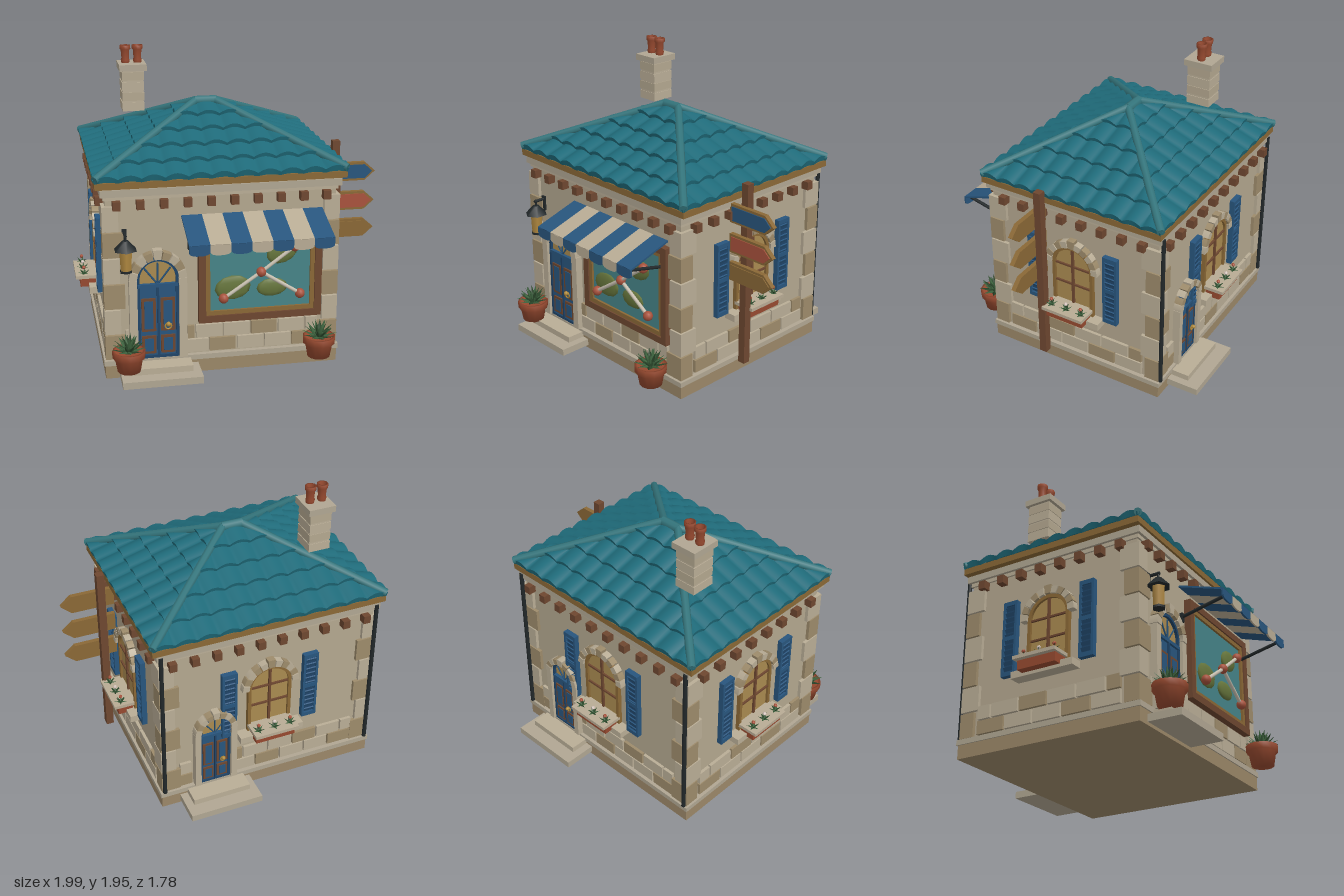
import * as THREE from 'three';

const CX = -0.105, CZ = -0.045, HW = 0.72, HD = 0.61; // house centre and half sizes
const C = {
  wall: 0xb3a78f, stone: 0xb9ad96, tan: 0x9d8b6b, base: 0x9b8768, cap: 0xb0a692, wood: 0x6e4730,
  gold: 0x8a6836, blue: 0x28557d, darkBlue: 0x1f4468, glass: 0xa98a50, teal: 0x468488, roof: 0x1f6b7a,
  ridge: 0x34757c, clay: 0x96492f, black: 0x22282a, leaf: 0x2c4a2c, olive: 0x66753c, cream: 0xb8ab94, red: 0xa8523c,
};
const mats = {};
const mat = (c) => (mats[c] ??= new THREE.MeshStandardMaterial({ color: c, side: THREE.DoubleSide }));

function add(parent, name, geo, color, x = 0, y = 0, z = 0) {
  const m = new THREE.Mesh(geo, mat(color));
  m.name = name;
  m.position.set(x, y, z);
  parent.add(m);
  return m;
}
const box = (p, name, w, h, d, c, x, y, z) => add(p, name, new THREE.BoxGeometry(w, h, d), c, x, y, z);
function group(parent, name, x = 0, y = 0, z = 0, ry = 0) {
  const g = new THREE.Group();
  g.name = name;
  g.position.set(x, y, z);
  g.rotation.y = ry;
  parent.add(g);
  return g;
}
const extrude = (shape, depth) => new THREE.ExtrudeGeometry(shape, { depth, bevelEnabled: false, curveSegments: 16 });
function rod(p, name, a, b, r, c, sides = 8) {
  const A = new THREE.Vector3(...a), B = new THREE.Vector3(...b), d = B.clone().sub(A);
  const m = add(p, name, new THREE.CylinderGeometry(r, r, d.length(), sides), c);
  m.position.copy(A).add(B).multiplyScalar(0.5);
  m.quaternion.setFromUnitVectors(new THREE.Vector3(0, 1, 0), d.normalize());
  return m;
}

// Round-topped outline, optionally hollowed by a smaller one
function arch(w, bottom, spring, inset = 0) {
  const trace = (s, r, b) => s.moveTo(r, b).lineTo(r, spring).absarc(0, spring, r, 0, Math.PI, false).lineTo(-r, b).closePath();
  const s = new THREE.Shape();
  trace(s, w, bottom);
  if (inset) {
    const h = new THREE.Path();
    trace(h, w - inset, bottom + inset);
    s.holes.push(h);
  }
  return s;
}

// Wedge stones around a half circle
function archStones(p, y, r0, r1, n, depth) {
  for (let i = 0; i < n; i++) {
    const a0 = (Math.PI * i) / n + 0.02, a1 = (Math.PI * (i + 1)) / n - 0.02;
    const R = i === (n - 1) / 2 ? r1 + 0.012 : r1;
    const s = new THREE.Shape().absarc(0, 0, R, a0, a1, false).absarc(0, 0, r0, a1, a0, true).closePath();
    add(p, 'archStone', extrude(s, depth), i % 2 ? C.tan : C.stone, 0, y, 0);
  }
}

function leafTuft(p, x, y, z, len, rings, n) {
  const g = group(p, 'leaves', x, y, z);
  for (let r = 0; r < rings; r++) for (let i = 0; i < n; i++) {
    const geo = new THREE.ConeGeometry(len * 0.24, len, 4).translate(0, len / 2, 0).scale(1, 1, 0.35);
    geo.rotateX(1.25 - r * 0.42).rotateY(((i + r * 0.5) / n) * Math.PI * 2);
    add(g, 'leaf', geo, (i + r) % 2 ? C.leaf : 0x3f6640);
  }
}

function addDoor(wall, x, s) {
  const g = group(wall, 'door', x, 0.125, 0);
  g.scale.set(s, s, 1);
  add(g, 'doorFrame', extrude(arch(0.13, 0, 0.53, 0.018), 0.03), C.darkBlue);
  box(g, 'doorLeaves', 0.235, 0.475, 0.02, C.blue, 0, 0.24, 0.01);
  add(g, 'fanlight', extrude(arch(0.115, 0.48, 0.53), 0.012), C.glass);
  box(g, 'transom', 0.25, 0.022, 0.03, C.blue, 0, 0.485, 0.02);
  for (const a of [-0.75, 0, 0.75]) rod(g, 'fanlightBar', [0, 0.49, 0.02], [Math.sin(a) * 0.12, 0.51 + Math.cos(a) * 0.12, 0.02], 0.006, C.blue, 4);
  for (const sx of [-1, 1]) {
    box(g, 'doorJamb', 0.05, 0.53, 0.05, C.stone, sx * 0.155, 0.265, 0.025);
    for (const [y, h] of [[0.29, 0.22], [0.09, 0.12]]) {
      box(g, 'panelSurround', 0.09, h, 0.01, C.wood, sx * 0.06, y, 0.024);
      box(g, 'panel', 0.055, h - 0.035, 0.01, C.blue, sx * 0.06, y, 0.028);
    }
  }
  box(g, 'meetingStile', 0.014, 0.47, 0.014, C.darkBlue, 0, 0.24, 0.026);
  add(g, 'doorKnob', new THREE.SphereGeometry(0.016, 10, 8), 0xb08a3c, 0.06, 0.23, 0.05);
  add(g, 'knocker', new THREE.TorusGeometry(0.02, 0.005, 6, 12), 0xb08a3c, 0.06, 0.215, 0.04);
  archStones(g, 0.53, 0.13, 0.18, 9, 0.055);
}
function addSteps(wall, x, w) {
  box(wall, 'lowerStep', w, 0.045, 0.24, C.cap, x, 0.048, 0.12);
  box(wall, 'upperStep', w - 0.1, 0.04, 0.15, C.stone, x, 0.09, 0.075);
}

function addWindow(wall) {
  const g = group(wall, 'archedWindow');
  add(g, 'windowGlass', extrude(arch(0.14, 0.46, 0.795), 0.012), C.glass);
  add(g, 'windowFrame', extrude(arch(0.15, 0.45, 0.795, 0.022), 0.028), C.gold);
  box(g, 'mullion', 0.016, 0.47, 0.016, C.wood, 0, 0.70, 0.018);
  for (const y of [0.66, 0.795]) box(g, 'glazingBar', 0.28, 0.012, 0.016, C.wood, 0, y, 0.016);
  archStones(g, 0.795, 0.15, 0.195, 11, 0.045);
  box(g, 'sill', 0.44, 0.045, 0.085, C.stone, 0, 0.438, 0.04);
  // flower box
  box(g, 'flowerBox', 0.27, 0.065, 0.1, C.clay, 0, 0.468, 0.085);
  box(g, 'flowerBoxRim', 0.3, 0.022, 0.15, C.cream, 0, 0.505, 0.09);
  for (const x of [-0.11, 0, 0.11]) {
    leafTuft(g, x, 0.515, 0.11, 0.045, 2, 5);
    add(g, 'flower', new THREE.IcosahedronGeometry(0.013, 0), x ? C.red : 0xd8c8c0, x, 0.56, 0.11);
  }
  // louvred shutters
  for (const sx of [-1, 1]) {
    const s = group(g, 'shutter', sx * 0.28, 0.715, 0.015);
    box(s, 'shutterBack', 0.09, 0.48, 0.018, C.darkBlue, 0, 0, 0);
    for (const e of [-1, 1]) box(s, 'shutterStile', 0.016, 0.495, 0.035, C.blue, e * 0.043, 0, 0.005);
    for (const y of [-0.235, 0, 0.235]) box(s, 'shutterRail', 0.1, 0.028, 0.035, C.blue, 0, y, 0.005);
    for (let i = 0; i < 12; i++) box(s, 'slat', 0.075, 0.024, 0.008, C.blue, 0, -0.2 + i * 0.0364, 0.013).rotation.x = 0.5;
  }
}

// Two courses of facing stones and a row of eave brackets
function addTrim(wall, hw, brackets, doorX, doorW) {
  const n = Math.round((hw * 2 - 0.2) / 0.19), w = (hw * 2 - 0.2) / n;
  for (let r = 0; r < 2; r++) for (let i = 0; i < n + r; i++) {
    let a = -hw + 0.1 + Math.max(0, (i - r / 2) * w), b = -hw + 0.1 + Math.min(n, i + 1 - r / 2) * w;
    if (doorW && a < doorX && b > doorX - doorW) b = Math.min(b, doorX - doorW);
    else if (doorW && a < doorX + doorW && b > doorX) a = Math.max(a, doorX + doorW);
    if (b - a > 0.03) box(wall, 'facingStone', b - a - 0.012, 0.085, 0.03, (i + r) % 3 ? C.stone : C.tan, (a + b) / 2, 0.182 + r * 0.095, 0.005);
  }
  for (let i = 0; i < brackets; i++) box(wall, 'eaveBracket', 0.048, 0.055, 0.06, C.wood, (i - (brackets - 1) / 2) * 0.145, 1.138, 0.022);
}

// One roof slope of overlapping barrel tiles, facing +z
function roofSlope(W, w1, D, d1, cols) {
  const rows = 5, sub = 8, N = cols * sub, pos = [], idx = [];
  const line = (t, lift, bumpy) => {
    const w = W + (w1 - W) * t;
    for (let i = 0; i <= N; i++) {
      const u = THREE.MathUtils.clamp(-W + (2 * W * i) / N, -w, w);
      const k = Math.abs(Math.sin(((u + W) / (2 * W)) * cols * Math.PI));
      pos.push(u, 1.28 + 0.325 * t + lift + bumpy * k, D + (d1 - D) * t + lift * 0.4);
    }
    return pos.length / 3 - N - 1;
  };
  const strip = (a, b) => {
    for (let i = 0; i < N; i++) idx.push(a + i, a + i + 1, b + i + 1, a + i, b + i + 1, b + i);
  };
  for (let r = 0; r < rows; r++) {
    const t0 = r / rows, t1 = (r + 1) / rows;
    strip(line(t0, 0, 0.008), line(t0, 0.024, 0.024)); // tile ends
    strip(line(t0, 0.024, 0.024), line(t1, 0.006, 0.018));
  }
  const g = new THREE.BufferGeometry();
  g.setAttribute('position', new THREE.Float32BufferAttribute(pos, 3));
  g.setIndex(idx);
  g.computeVertexNormals();
  return g;
}

function addShopfront(wall) {
  // picture window
  const win = group(wall, 'shopWindow', 0.237, 0.67, 0);
  const ring = (w, h, t) => {
    const s = new THREE.Shape().moveTo(-w, -h).lineTo(w, -h).lineTo(w, h).lineTo(-w, h).closePath();
    s.holes.push(new THREE.Path().moveTo(-w + t, -h + t).lineTo(-w + t, h - t).lineTo(w - t, h - t).lineTo(w - t, -h + t).closePath());
    return s;
  };
  add(win, 'outerFrame', extrude(ring(0.393, 0.33, 0.045), 0.045), C.wood);
  add(win, 'innerFrame', extrude(ring(0.35, 0.287, 0.03), 0.035), C.gold);
  box(win, 'shopGlass', 0.66, 0.54, 0.02, C.teal, 0, 0, 0.01);
  // balls, rods and leaves on the glass
  const P = [[-0.24, -0.165, 0.06], [-0.002, -0.005, 0.06], [0.21, 0.15, 0.06], [0.248, -0.165, 0.06]];
  for (const p of P) add(win, 'displayBall', new THREE.SphereGeometry(0.032, 12, 8), C.red, ...p);
  for (const i of [0, 2, 3]) rod(win, 'displayRod', P[1], P[i], 0.012, 0xc8c0b0);
  for (const [x, y, rx, ry, a] of [[-0.177, -0.108, 0.115, 0.08, 0.1], [0.075, -0.122, 0.1, 0.06, 0.05], [0.135, 0.105, 0.1, 0.07, 0.3]])
    add(win, 'displayLeaf', new THREE.SphereGeometry(1, 10, 6).scale(rx, ry, 0.02), C.olive, x, y, 0.03).rotation.z = a;
  // striped awning
  const aw = group(wall, 'awning', 0.185, 0, 0), sw = 0.1266;
  for (let i = 0; i < 7; i++) {
    const x = (i - 3) * sw, c = i % 2 ? C.cream : C.blue;
    box(aw, 'awningStripe', sw, 0.012, 0.315, c, x, 1.0, 0.17).rotation.x = 0.307;
    const s = new THREE.Shape().moveTo(-sw / 2, 0.955).lineTo(-sw / 2, 0.915).quadraticCurveTo(-sw / 2, 0.89, 0, 0.89)
      .quadraticCurveTo(sw / 2, 0.89, sw / 2, 0.915).lineTo(sw / 2, 0.955).closePath();
    add(aw, 'awningScallop', extrude(s, 0.012), c, x, 0, 0.31);
  }
  for (const x of [-0.39, 0.39]) {
    rod(aw, 'awningArm', [x, 0.86, 0.01], [x, 0.93, 0.31], 0.011, C.black);
    box(aw, 'armPlate', 0.025, 0.06, 0.02, C.black, x, 0.855, 0.01);
  }
  // wall lantern
  const l = group(wall, 'lantern', -0.608, 0, 0.075);
  rod(l, 'lanternArm', [0, 0.96, -0.08], [0, 0.96, 0.01], 0.01, C.black);
  rod(l, 'lanternHook', [0, 0.97, 0], [0, 0.92, 0], 0.007, C.black);
  box(l, 'lanternPlate', 0.03, 0.1, 0.015, C.black, 0, 0.93, -0.07);
  add(l, 'lanternRoof', new THREE.CylinderGeometry(0.02, 0.075, 0.06, 6), C.black, 0, 0.9, 0);
  add(l, 'lanternGlass', new THREE.CylinderGeometry(0.042, 0.036, 0.13, 6), 0xb08840, 0, 0.805, 0);
  add(l, 'lanternBase', new THREE.CylinderGeometry(0.04, 0.04, 0.014, 6), C.black, 0, 0.735, 0);
}

export function createModel() {
  const root = new THREE.Group();
  root.name = 'shopHouse';

  // plinth, walls and cornice
  const house = group(root, 'house', CX, 0, CZ);
  const layer = (name, e, y0, y1, c) => box(house, name, 2 * (HW + e), y1 - y0, 2 * (HD + e), c, 0, (y0 + y1) / 2, 0);
  layer('plinth', 0.025, 0.005, 0.092, C.base);
  layer('plinthCap', 0.033, 0.092, 0.125, C.cap);
  layer('walls', 0, 0.12, 1.2, C.wall);
  layer('cornice', 0.012, 1.165, 1.2, C.stone);
  layer('corniceTop', 0.03, 1.19, 1.235, C.cap);
  box(house, 'fascia', 1.56, 0.042, 1.3, C.gold, 0, 1.262, 0);

  // corner stones and rear downpipes
  for (const sx of [-1, 1]) for (const sz of [-1, 1]) {
    for (let i = 0; i < 6; i++) {
      const w = i % 2 ? 0.1 : 0.13, d = i % 2 ? 0.13 : 0.1;
      box(house, 'cornerStone', w, 0.158, d, i % 2 ? C.stone : C.tan, sx * (HW + 0.022 - w / 2), 0.21 + i * 0.168, sz * (HD + 0.022 - d / 2));
    }
    if (sz < 0) rod(house, 'downpipe', [sx * (HW + 0.005), 0.13, -HD - 0.03], [sx * (HW + 0.005), 1.22, -HD - 0.03], 0.014, C.black);
  }

  // the four faces, each built facing outward
  const front = group(house, 'frontWall', 0, 0, HD), back = group(house, 'backWall', 0, 0, -HD, Math.PI);
  const sides = [1, -1].map((s) => group(house, s > 0 ? 'leftWall' : 'rightWall', s * HW, 0, 0, (s * Math.PI) / 2));
  addTrim(front, HW, 10, -0.41, 0.18);
  addTrim(back, HW, 10, -0.375, 0.15);
  for (const s of sides) addTrim(s, HD, 8, 0, 0);
  for (const w of [back, ...sides]) addWindow(w);
  addDoor(front, -0.41, 1);
  addDoor(back, -0.375, 0.8);
  addSteps(front, -0.41, 0.5);
  addSteps(back, -0.375, 0.49);
  addShopfront(front);

  // hipped tile roof
  const roof = group(house, 'roof');
  for (let i = 0; i < 4; i++)
    add(roof, 'tileSlope', i % 2 ? roofSlope(0.65, 0, 0.78, 0.06, 10) : roofSlope(0.78, 0.06, 0.65, 0, 11), C.roof).rotation.y = (i * Math.PI) / 2;
  for (const sx of [-1, 1]) for (const sz of [-1, 1]) rod(roof, 'hipCap', [sx * 0.78, 1.305, sz * 0.65], [sx * 0.06, 1.625, 0], 0.026, C.ridge);
  rod(roof, 'ridgeCap', [-0.07, 1.62, 0], [0.07, 1.62, 0], 0.032, C.ridge);

  // chimney
  const ch = group(root, 'chimney', -0.55, 0, -0.315);
  box(ch, 'chimneyStack', 0.136, 0.27, 0.156, C.stone, 0, 1.66, 0);
  for (let i = 0; i < 4; i++) box(ch, 'chimneyCourse', 0.145, 0.055, 0.163, i % 2 ? C.wall : C.stone, 0, 1.553 + i * 0.068, 0);
  box(ch, 'chimneyCap', 0.18, 0.042, 0.2, C.cap, 0, 1.815, 0);
  const potProfile = [[0.026, 0], [0.03, 0.02], [0.025, 0.03], [0.029, 0.085], [0.036, 0.09], [0.036, 0.115], [0.026, 0.115], [0.022, 0.05]].map((p) => new THREE.Vector2(...p));
  for (const x of [-0.04, 0.04]) add(ch, 'chimneyPot', new THREE.LatheGeometry(potProfile, 10), C.clay, x, 1.836, 0);

  // signpost with three arrow boards
  const sign = group(root, 'signpost', 0.735, 0, 0.122);
  box(sign, 'post', 0.05, 1.225, 0.05, C.wood, 0, 0.742, 0);
  const arrow = (e) => new THREE.Shape().moveTo(-0.095 + e, -0.062 + e).lineTo(0.19, -0.062 + e).lineTo(0.26 - e * 1.3, 0).lineTo(0.19, 0.062 - e).lineTo(-0.095 + e, 0.062 - e).closePath();
  [[1.15, C.blue], [0.95, C.red], [0.76, C.gold]].forEach(([y, c]) => {
    add(sign, 'arrowBoard', extrude(arrow(0), 0.03), C.gold, 0, y, 0.022);
    add(sign, 'arrowFace', extrude(arrow(0.016), 0.008), c, 0, y, 0.05);
  });

  // potted plants by the shopfront
  const pot = [[0, 0], [0.072, 0], [0.088, 0.09], [0.102, 0.092], [0.104, 0.135], [0.09, 0.135], [0.085, 0.115], [0, 0.115]].map((p) => new THREE.Vector2(...p));
  for (const x of [-0.715, 0.49]) {
    const g = group(root, 'pottedPlant', x, 0.105, 0.705);
    add(g, 'pot', new THREE.LatheGeometry(pot, 12), C.clay);
    leafTuft(g, 0, 0.12, 0, 0.12, 3, 9);
  }
  return root;
}
